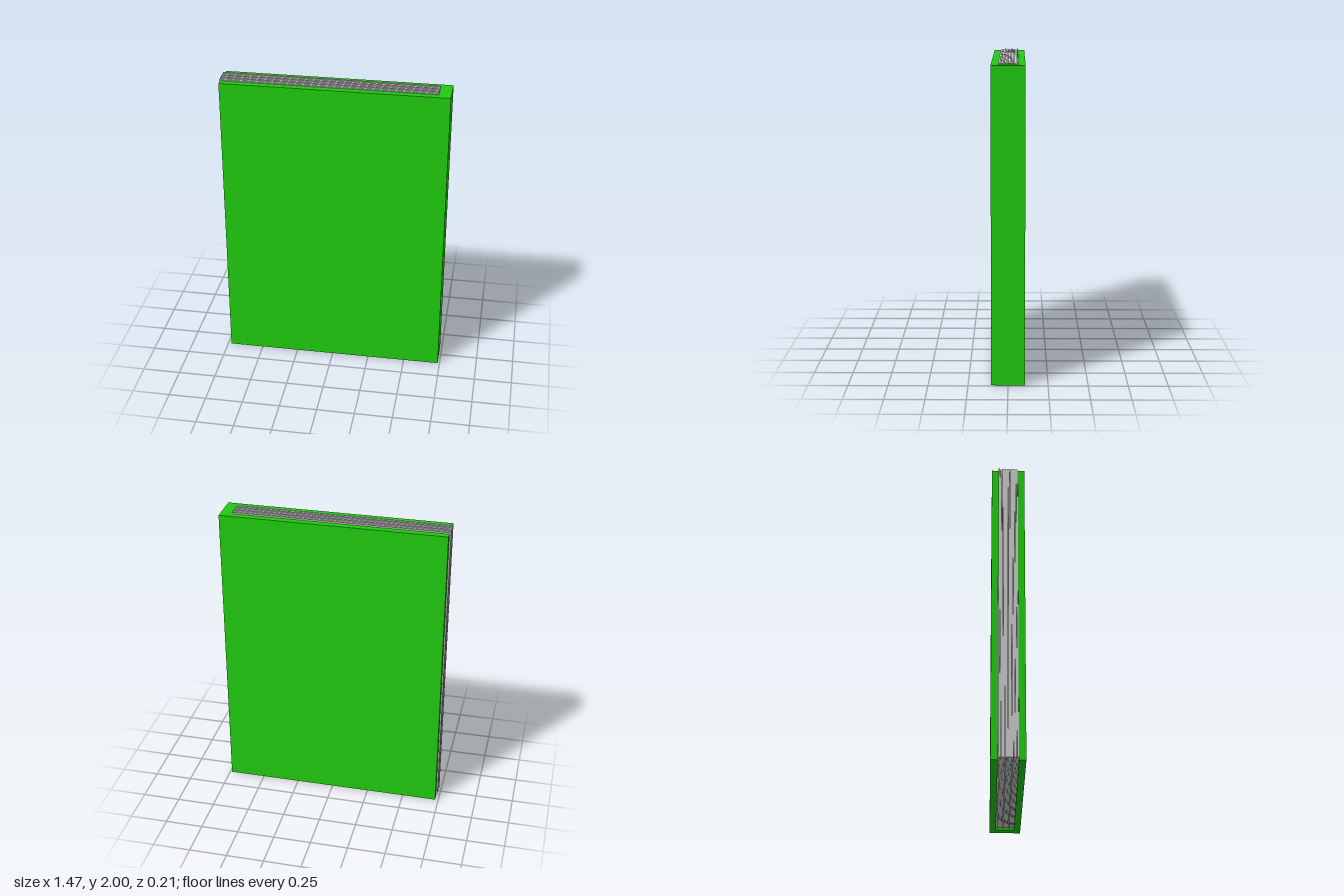
import * as THREE from 'three';

const H = 1.99, LEFT = -0.728, RIGHT = 0.737, HALF = 0.105;
const SPINE_X = 0.66, INNER = 0.062;

export function createModel() {
  const book = new THREE.Group();
  book.name = 'book';
  const green = new THREE.MeshStandardMaterial({ color: 0x20cc10 });
  const paper = new THREE.MeshStandardMaterial({ color: 0xcccccc });

  // Cover: two boards joined by the spine, as one U-shaped section
  const section = new THREE.Shape([
    [LEFT, -HALF], [RIGHT, -HALF], [RIGHT, HALF], [LEFT, HALF],
    [LEFT, INNER], [SPINE_X, INNER], [SPINE_X, -INNER], [LEFT, -INNER],
  ].map(([x, y]) => new THREE.Vector2(x, y)));
  const coverGeo = new THREE.ExtrudeGeometry(section, { depth: H, bevelEnabled: false });
  coverGeo.rotateX(-Math.PI / 2);
  const cover = new THREE.Mesh(coverGeo, green);
  cover.name = 'cover';
  book.add(cover);

  // Pages: thin sheets, every other one set slightly back from the edges
  const pages = new THREE.Group();
  pages.name = 'pages';
  const count = 12, pitch = 2 * INNER / count;
  for (let i = 0; i < count; i++) {
    const inset = i % 2 ? 0.004 : (i % 4) * 0.001;
    const x0 = -0.737 + inset, y0 = 0.012 + inset, y1 = 2 - inset;
    const page = new THREE.Mesh(new THREE.BoxGeometry(SPINE_X - x0, y1 - y0, pitch * 0.9), paper);
    page.position.set((SPINE_X + x0) / 2, (y0 + y1) / 2, -INNER + (i + 0.5) * pitch);
    page.name = 'page';
    pages.add(page);
  }
  book.add(pages);
  return book;
}
